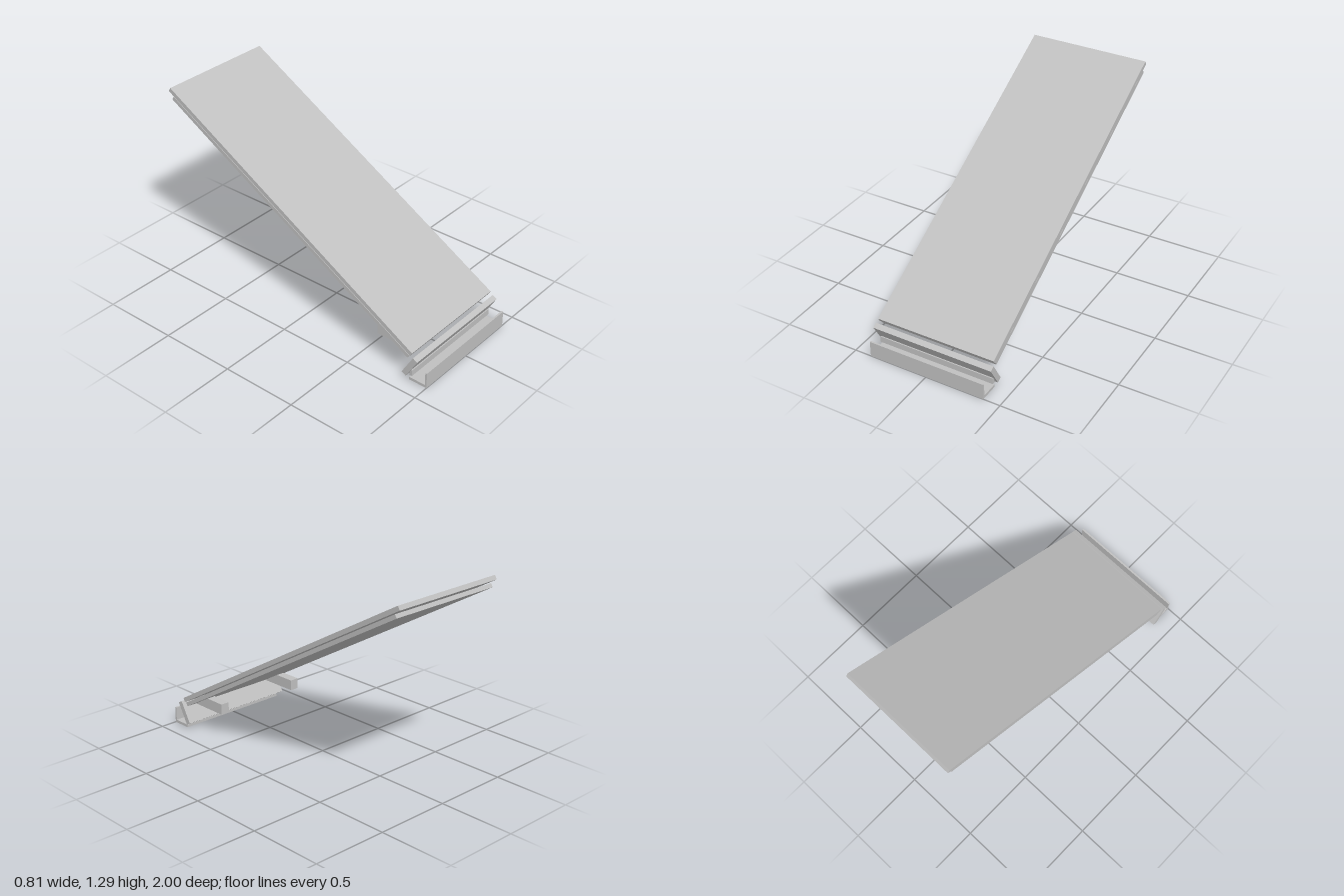
import * as THREE from 'three';

export function createModel() {
  const model = new THREE.Group();
  const grey = new THREE.MeshStandardMaterial({ color: 0xbfbfbf });
  grey.name = 'light grey';

  const addBox = (parent, name, size, position) => {
    const mesh = new THREE.Mesh(new THREE.BoxGeometry(...size), grey);
    mesh.name = name;
    mesh.position.set(...position);
    parent.add(mesh);
    return mesh;
  };
  const tilt = Math.PI / 6;

  // Two stacked sloping panels, the lower one slightly shorter
  const panels = new THREE.Group();
  panels.name = 'slopingPanels';
  panels.position.set(0, 0.735, -0.0525);
  panels.rotation.x = tilt;
  model.add(panels);
  addBox(panels, 'upperPanel', [0.796, 0.028, 2.172], [0, 0, 0]);
  addBox(panels, 'lowerPanel', [0.79, 0.025, 2.12], [0, -0.0335, 0.02]);

  // Support beams running back from under the lower end
  for (const side of [-1, 1]) {
    addBox(model, side > 0 ? 'leftBeam' : 'rightBeam',
      [0.06, 0.07, 0.25], [side * 0.3, 0.195, 0.715]);
  }

  // Tilted fascia board square to the panels, with a batten behind its foot
  addBox(model, 'fasciaBoard', [0.81, 0.155, 0.035], [0, 0.104, 0.884]).rotation.x = tilt;
  addBox(model, 'batten', [0.78, 0.04, 0.02], [0, 0.055, 0.885]);

  // Gutter: floor and front wall
  const gutter = new THREE.Group();
  gutter.name = 'gutter';
  model.add(gutter);
  addBox(gutter, 'gutterFloor', [0.78, 0.018, 0.125], [0, 0.009, 0.9375]);
  addBox(gutter, 'gutterFront', [0.78, 0.087, 0.012], [0, 0.0615, 0.994]);

  return model;
}
